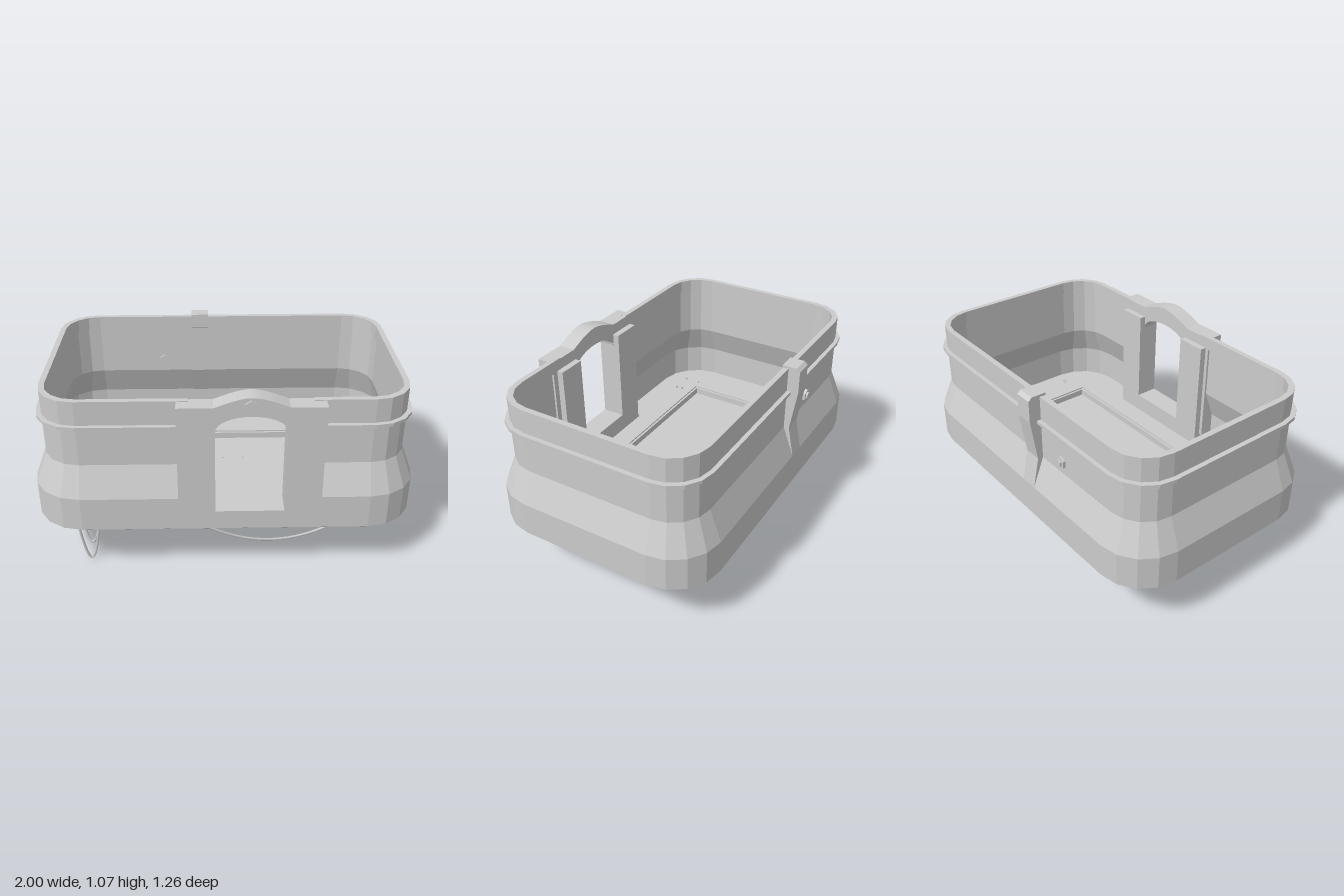
import * as THREE from 'three';

const grey = new THREE.MeshStandardMaterial({ color: 0xcccccc, flatShading: true, side: THREE.DoubleSide });
const smooth = new THREE.MeshStandardMaterial({ color: 0xcccccc });
const Z0 = -0.005; // body centre in z
const CUT = [0.43, -0.18]; // doorway cut in the front wall
const SILL = 0.42;

// Rounded rectangle in x,z, with two extra points on the front edge
function ring(hx, hz, r) {
  const pts = [];
  const corners = [[1, 1], [-1, 1], [-1, -1], [1, -1]];
  corners.forEach(([sx, sz], c) => {
    for (let k = 0; k <= 4; k++) {
      const a = (c + k / 4) * Math.PI / 2;
      pts.push([sx * (hx - r) + r * Math.cos(a), Z0 + sz * (hz - r) + r * Math.sin(a)]);
    }
    if (c === 0) CUT.forEach(x => pts.push([x, Z0 + hz]));
  });
  return pts;
}

// Wall lofted through rings: up the outside, over the rim and its lip, down the inside
function wallGeometry() {
  const profile = [ // half x, half z, corner radius, y
    [0.985, 0.61, 0.25, 0.30], [1, 0.625, 0.26, 0.312], [1, 0.625, 0.26, SILL], [1, 0.625, 0.26, 0.5],
    [0.935, 0.56, 0.2, 0.667], [0.935, 0.56, 0.2, 0.877], [0.96, 0.583, 0.22, 0.877], [0.96, 0.583, 0.22, 0.895],
    [0.935, 0.56, 0.2, 0.895], [0.935, 0.56, 0.2, 1.025], [0.905, 0.53, 0.175, 1.025], [0.905, 0.53, 0.175, 0.955],
    [0.918, 0.543, 0.185, 0.955], [0.918, 0.543, 0.185, 0.665], [0.982, 0.607, 0.245, 0.498],
    [0.982, 0.607, 0.245, SILL], [0.982, 0.607, 0.245, 0.31],
  ];
  const pos = [], idx = [];
  let n = 0;
  profile.forEach(([hx, hz, r, y]) => {
    const pts = ring(hx, hz, r);
    n = pts.length;
    pts.forEach(([x, z]) => pos.push(x, y, z));
  });
  for (let i = 0; i < profile.length - 1; i++) {
    const open = profile[i][3] >= SILL && profile[i + 1][3] >= SILL;
    for (let j = 0; j < n; j++) {
      if (open && j === 5) continue;
      const k = (j + 1) % n;
      const a = i * n + j, b = i * n + k, c = a + n, d = b + n;
      idx.push(a, c, b, b, c, d);
    }
  }
  const g = new THREE.BufferGeometry();
  g.setAttribute('position', new THREE.Float32BufferAttribute(pos, 3));
  g.setIndex(idx);
  const flat = g.toNonIndexed();
  flat.computeVertexNormals();
  return flat;
}

const vecs = pts => pts.map(p => new THREE.Vector2(...p));
const rect = (x, y0, y1) => vecs([[-x, y0], [x, y0], [x, y1], [-x, y1]]);

export function createModel() {
  const group = new THREE.Group();
  const add = (name, geometry, material = grey) => {
    const m = new THREE.Mesh(geometry, material);
    m.name = name;
    group.add(m);
    return m;
  };

  // Horizontal slab from an outline in x,-z
  const slab = (name, shape, y0, y1) => {
    const g = new THREE.ExtrudeGeometry(shape, { depth: y1 - y0, bevelEnabled: false });
    add(name, g.rotateX(-Math.PI / 2).translate(0, y0, 0));
  };

  // Slab with bevelled edges
  const bevelSlab = (name, outline, y0, y1, b) => {
    const s = new THREE.Shape(outline.map(([x, z]) => new THREE.Vector2(x, -z)));
    const g = new THREE.ExtrudeGeometry(s, {
      depth: y1 - y0 - 2 * b, bevelThickness: b, bevelSize: b, bevelOffset: -b, bevelSegments: 1,
    });
    add(name, g.rotateX(-Math.PI / 2).translate(0, y0 + b, 0));
  };

  add('tubWall', wallGeometry());

  // Floor with a rectangular recess
  const floorShape = new THREE.Shape(ring(0.985, 0.61, 0.25).map(([x, z]) => new THREE.Vector2(x, -z)));
  floorShape.holes.push(new THREE.Path(rect(0.75, -0.37, 0.38)));
  slab('floor', floorShape, 0.30, 0.316);
  const recessShape = new THREE.Shape(rect(0.753, -0.373, 0.383));
  recessShape.holes.push(new THREE.Path(rect(0.737, -0.357, 0.367)));
  slab('recessWall', recessShape, 0.262, 0.308);
  bevelSlab('recessBase', [[-0.753, 0.373], [0.753, 0.373], [0.753, -0.383], [-0.753, -0.383]], 0.255, 0.27, 0.006);

  // Door frame with raised brow and arched opening
  const frame = new THREE.Shape();
  frame.moveTo(-0.24, 0.38);
  frame.lineTo(0.49, 0.38);
  frame.lineTo(0.49, 1.02);
  frame.lineTo(0.31, 1.02);
  frame.splineThru(vecs([[0.21, 1.057], [0.125, 1.072], [0.04, 1.057], [-0.06, 1.02]]));
  frame.lineTo(-0.24, 1.02);
  const door = new THREE.Path();
  door.moveTo(-0.052, SILL);
  door.lineTo(0.302, SILL);
  door.lineTo(0.302, 0.89);
  door.absellipse(0.125, 0.89, 0.177, 0.082, 0, Math.PI, false, 0);
  door.lineTo(-0.052, SILL);
  frame.holes.push(door);
  const frameGeo = new THREE.ExtrudeGeometry(frame, { depth: 0.095, bevelEnabled: false, curveSegments: 8 });
  add('doorFrame', frameGeo.translate(0, 0, 0.526));

  // Jambs and sill standing behind the frame
  const lining = new THREE.Shape(vecs([
    [-0.22, 0.31], [0.46, 0.31], [0.46, 0.96], [0.302, 0.96],
    [0.302, SILL], [-0.052, SILL], [-0.052, 0.96], [-0.22, 0.96],
  ]));
  const liningGeo = new THREE.ExtrudeGeometry(lining, { depth: 0.05, bevelEnabled: false });
  add('doorLining', liningGeo.translate(0, 0, 0.49));

  // Hexagonal studs on the brow and through the back wall
  const stud = (name, x, y, z, r, len) => {
    const g = new THREE.CylinderGeometry(r, r, len, 6).rotateX(Math.PI / 2);
    add(name, g).position.set(x, y, z);
  };
  stud('browStud', 0.122, 1.022, 0.62, 0.038, 0.02);
  stud('backStud', -0.35, 0.735, -0.558, 0.036, 0.044);
  stud('backStudTip', -0.35, 0.735, -0.582, 0.022, 0.014);

  // Strap hooked over the back rim, following the wall inside and out
  const strap = new THREE.Shape(vecs([
    [0.53, 1.038], [0.61, 1.038], [0.63, 1.02], [0.63, 0.9], [0.595, 0.67], [0.63, 0.5],
    [0.6, 0.5], [0.533, 0.67], [0.533, 0.95], [0.53, 0.96],
  ]));
  const strapGeo = new THREE.ExtrudeGeometry(strap, { depth: 0.1, bevelEnabled: false });
  add('backStrap', strapGeo.rotateY(Math.PI / 2).translate(-0.18, 0, 0));

  // Plates and bars under the floor
  bevelSlab('underPlate', [
    [-0.47, 0.10], [-0.13, 0.10], [-0.13, 0.31], [0.69, 0.31], [0.69, 0.09], [0.56, 0.09], [0.56, -0.115], [-0.47, -0.115],
  ], 0.21, 0.257, 0.012);
  bevelSlab('underBar', [[-0.34, 0.44], [-0.22, 0.44], [-0.22, 0.375], [-0.34, 0.375]], 0.225, 0.302, 0.006);
  bevelSlab('underBar', [[-0.34, 0.38], [-0.22, 0.38], [-0.22, -0.38], [-0.34, -0.38]], 0.225, 0.262, 0.006);
  bevelSlab('underBar', [[-0.34, -0.37], [-0.22, -0.37], [-0.22, -0.573], [-0.34, -0.573]], 0.225, 0.302, 0.006);
  bevelSlab('underBlock', [[-0.09, -0.07], [0.025, -0.07], [0.025, -0.195], [-0.09, -0.195]], 0.175, 0.257, 0.008);

  // Hanging wire loops: x, z of both ends, lowest y, highest y
  const wires = [
    [-0.80, 0.475, -0.67, 0.475, 0.012, 0.328], [-0.80, 0.38, -0.67, 0.435, 0.068, 0.328],
    [0.64, -0.295, 0.78, -0.295, 0.012, 0.328], [0.64, -0.39, 0.775, -0.33, 0.068, 0.328],
    [0.0, -0.137, 0.122, -0.137, 0.042, 0.275],
    [-0.53, -0.062, 0.61, 0.067, 0.072, 0.328], [-0.24, 0.5, 0.89, 0.315, 0.072, 0.328],
  ];
  wires.forEach(([x0, z0, x1, z1, low, top]) => {
    const pts = [];
    for (let i = 0; i <= 16; i++) {
      const t = i / 16, u = 2 * t - 1;
      pts.push(new THREE.Vector3(x0 + (x1 - x0) * t, low + (top - low) * u * u, z0 + (z1 - z0) * t));
    }
    add('wireLoop', new THREE.TubeGeometry(new THREE.CatmullRomCurve3(pts), 40, 0.007, 6), smooth);
  });

  return group;
}
